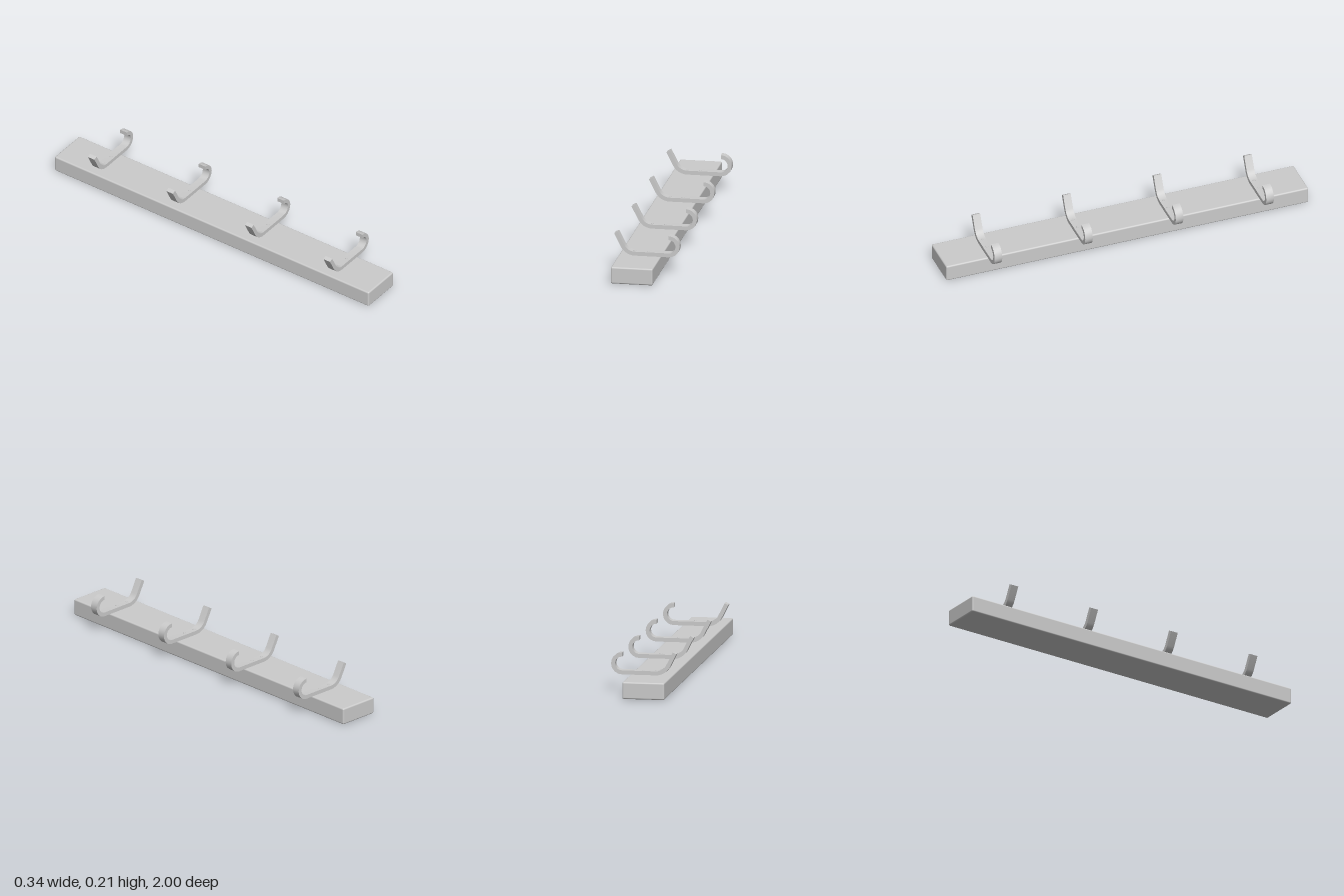
import * as THREE from 'three';
import { RoundedBoxGeometry } from 'three/addons/geometries/RoundedBoxGeometry.js';
import { toCreasedNormals } from 'three/addons/utils/BufferGeometryUtils.js';

const material = new THREE.MeshStandardMaterial({ color: 0xcccccc });
const STRAP = 0.021; // thickness of the bent strap
const WIDTH = 0.042; // width of the strap along z
const BASE = 0.089; // top of the board

// Points on an arc, angles in degrees
function arc(cx, cy, r, from, to, steps) {
  return Array.from({ length: steps + 1 }, (_, i) => {
    const a = THREE.MathUtils.degToRad(from + ((to - from) * i) / steps);
    return new THREE.Vector2(cx + r * Math.cos(a), cy + r * Math.sin(a));
  });
}

// One face of the strap: slanted arm, bend, flat foot and curl.
// inset is the distance from the outer face
function strapLine(inset) {
  const bend = arc(-0.065, BASE + 0.082, 0.082 - inset, 207, 270, 6);
  const a = THREE.MathUtils.degToRad(207);
  const tip = bend[0].clone().add(new THREE.Vector2(Math.sin(a), -Math.cos(a)).multiplyScalar(0.077));
  const curl = arc(0.113, BASE + 0.057, 0.057 - inset, -90, 90, 10);
  return [tip, ...bend, ...curl];
}

function hookGeometry() {
  const outline = [...strapLine(0), ...strapLine(STRAP).reverse()];
  const geometry = new THREE.ExtrudeGeometry(new THREE.Shape(outline), { depth: WIDTH, bevelEnabled: false });
  geometry.translate(0, 0, -WIDTH / 2);
  return toCreasedNormals(geometry, 0.5);
}

export function createModel() {
  const model = new THREE.Group();
  model.name = 'hookRail';

  const add = (parent, geometry, name, x, y, z) => {
    const mesh = new THREE.Mesh(geometry, material);
    mesh.name = name;
    mesh.position.set(x, y, z);
    parent.add(mesh);
  };

  // Board with softened edges
  add(model, new RoundedBoxGeometry(0.22, BASE, 2, 3, 0.008), 'board', -0.04, BASE / 2, 0);

  // Four hooks, each held by two low screws
  const hookShape = hookGeometry();
  const screwShape = new THREE.CylinderGeometry(0.007, 0.008, 0.004, 16);
  for (const z of [-0.75, -0.25, 0.25, 0.75]) {
    const hook = new THREE.Group();
    hook.name = 'hook';
    hook.position.z = z;
    add(hook, hookShape, 'hookStrap', 0, 0, 0);
    for (const x of [-0.067, 0.002]) add(hook, screwShape, 'screwHead', x, BASE + STRAP + 0.0005, 0);
    model.add(hook);
  }
  return model;
}
